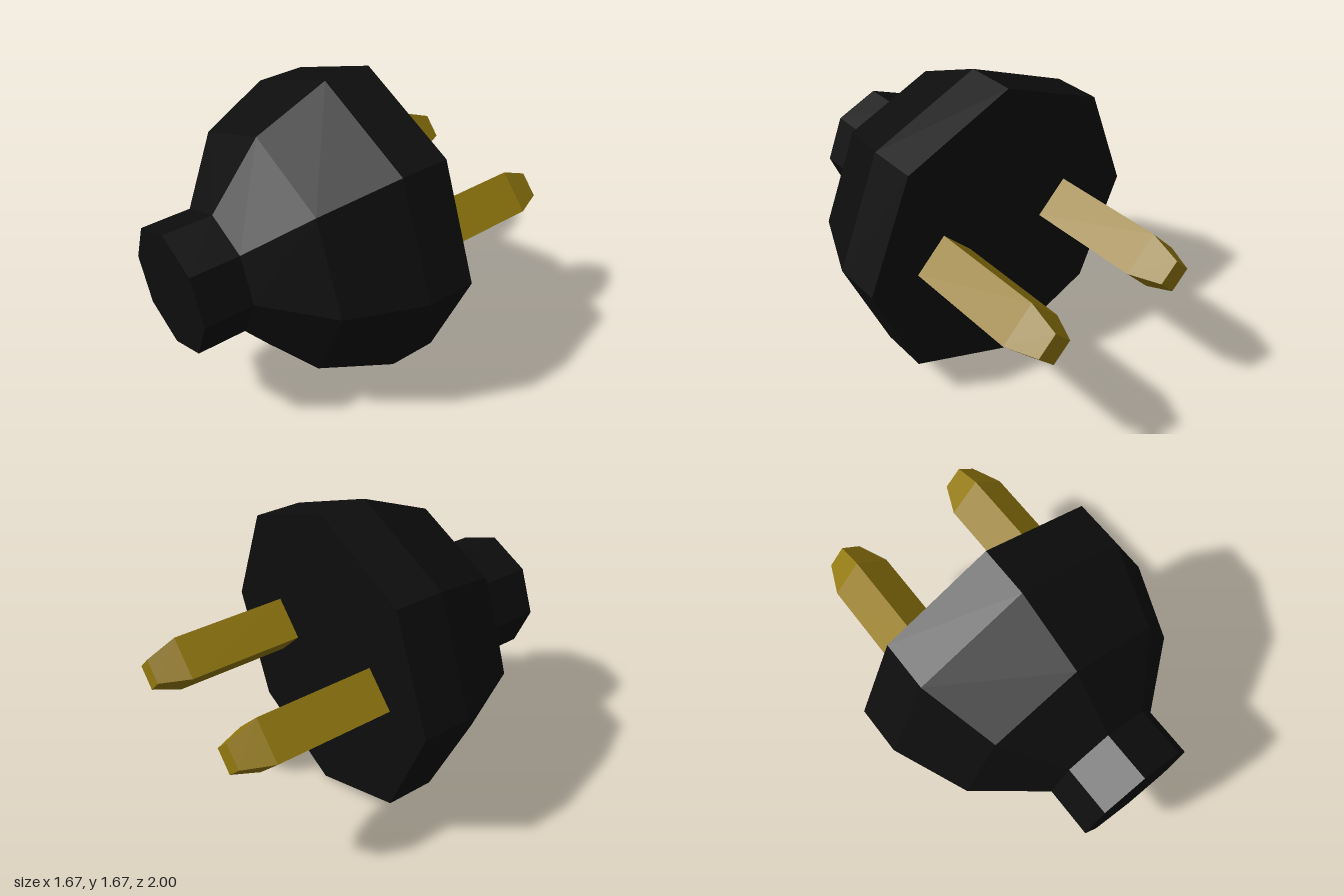
import * as THREE from 'three';

// Faceted solid of revolution along z, from [radius, z] pairs
function turned(name, profile, sides, material) {
  const points = profile.map(([r, z]) => new THREE.Vector2(r, z));
  const geometry = new THREE.LatheGeometry(points, sides);
  geometry.rotateX(Math.PI / 2);
  const mesh = new THREE.Mesh(geometry, material);
  mesh.name = name;
  return mesh;
}

export function createModel() {
  const black = new THREE.MeshStandardMaterial({ color: 0x0d0d0d, flatShading: true });
  black.name = 'black plastic';
  const brass = new THREE.MeshStandardMaterial({ color: 0x92780f, flatShading: true });
  brass.name = 'brass';

  const plug = new THREE.Group();
  plug.name = 'plug';
  const centreY = 0.834;

  // Eight-sided housing narrowing to the cable collar at the front
  const housing = turned('housing', [
    [0, -0.2], [0.834, -0.2], [0.834, 0.065], [0.667, 0.465],
    [0.333, 0.733], [0.333, 1], [0, 1],
  ], 8, black);
  housing.position.y = centreY;
  plug.add(housing);

  // Two diamond-section prongs with tapered tips at the back
  for (const side of [-1, 1]) {
    const prong = turned(side > 0 ? 'leftProng' : 'rightProng', [
      [0, -1], [0.095, -1], [0.165, -0.84], [0.165, -0.19],
    ], 4, brass);
    prong.position.set(side * 0.4, centreY, 0);
    plug.add(prong);
  }
  return plug;
}
